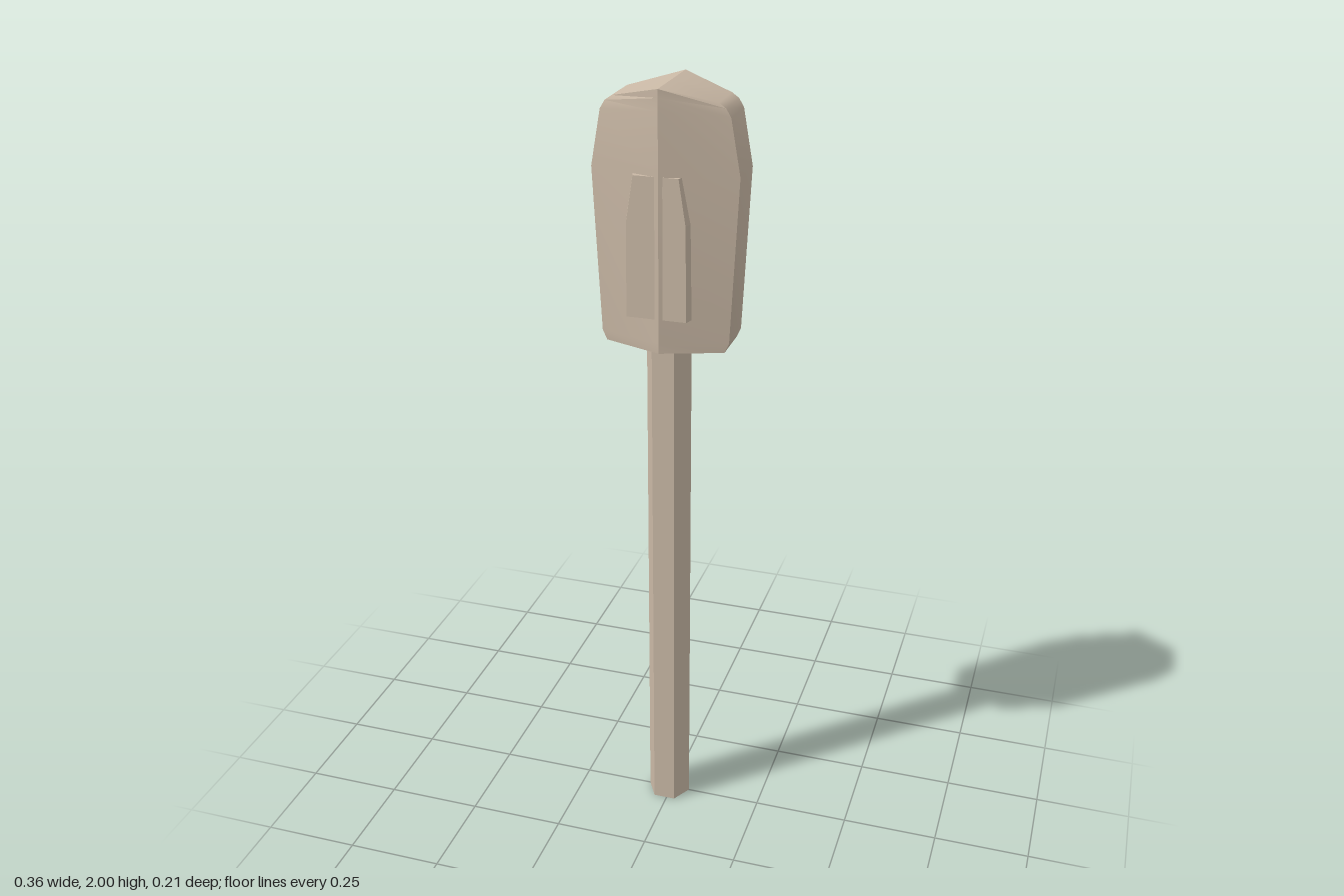
import * as THREE from 'three';
import { toCreasedNormals } from 'three/addons/utils/BufferGeometryUtils.js';

const AXIS_X = -0.007; // the shaft and panels sit slightly off centre

// Six-sided head: stacked sections, each with a front and back ridge point
function headGeometry() {
  // [half width, rim height, ridge height]
  const rows = [
    [0.127, 1.967, 2.0], [0.144, 1.955, 1.98], [0.156, 1.935, 1.95],
    [0.18, 1.8, 1.8], [0.16, 1.395, 1.395], [0.149, 1.37, 1.37],
  ];
  const ridge = 0.107, rim = 0.055, n = 6;
  const pos = [], idx = [];
  for (const [x, y, top] of rows) {
    pos.push(0, top, ridge, x, y, rim, x, y, -rim, 0, top, -ridge, -x, y, -rim, -x, y, rim);
  }
  pos.push(0, 2, 0, 0, 1.37, 0);
  const topMid = rows.length * n, last = topMid - n;
  for (let i = 0; i < n; i++) {
    const j = (i + 1) % n;
    for (let r = 0; r < last; r += n) {
      idx.push(r + i, r + n + i, r + n + j, r + i, r + n + j, r + j);
    }
    idx.push(topMid, i, j, topMid + 1, last + j, last + i);
  }
  const geo = new THREE.BufferGeometry();
  geo.setAttribute('position', new THREE.Float32BufferAttribute(pos, 3));
  geo.setIndex(idx);
  return toCreasedNormals(geo, 0.5);
}

// Raised panel with sides that flare towards the head
function panelGeometry() {
  const half = [[0.0745, 1.455], [0.072, 1.69], [0.055, 1.8]];
  const outline = [...half, ...half.map(([x, y]) => [-x, y]).reverse()];
  const shape = new THREE.Shape(outline.map(([x, y]) => new THREE.Vector2(x, y)));
  const geo = new THREE.ExtrudeGeometry(shape, { depth: 0.034, bevelEnabled: false });
  const p = geo.attributes.position;
  for (let i = 0; i < p.count; i++) {
    if (p.getZ(i) < 0.01) p.setX(i, p.getX(i) + Math.sign(p.getX(i)) * 0.011);
  }
  geo.translate(0, 0, 0.07);
  geo.computeVertexNormals();
  return geo;
}

export function createModel() {
  const model = new THREE.Group();
  const material = new THREE.MeshStandardMaterial({ color: 0xc9b8a5 });
  const add = (name, geo) => {
    const mesh = new THREE.Mesh(geo, material);
    mesh.name = name;
    model.add(mesh);
    return mesh;
  };

  add('head', headGeometry());

  // Hexagonal shaft with corners pointing sideways
  const shaft = new THREE.CylinderGeometry(0.0575, 0.0575, 1.38, 6, 1, false, Math.PI / 6);
  shaft.scale(1, 1, 1.03);
  shaft.translate(AXIS_X, 0.69, 0);
  add('shaft', toCreasedNormals(shaft, 0.3));

  // Matching panels on the front and back of the head
  const panel = panelGeometry();
  ['frontPanel', 'backPanel'].forEach((name, i) => {
    const mesh = add(name, panel);
    mesh.position.x = AXIS_X;
    mesh.rotation.y = i * Math.PI;
  });

  return model;
}
